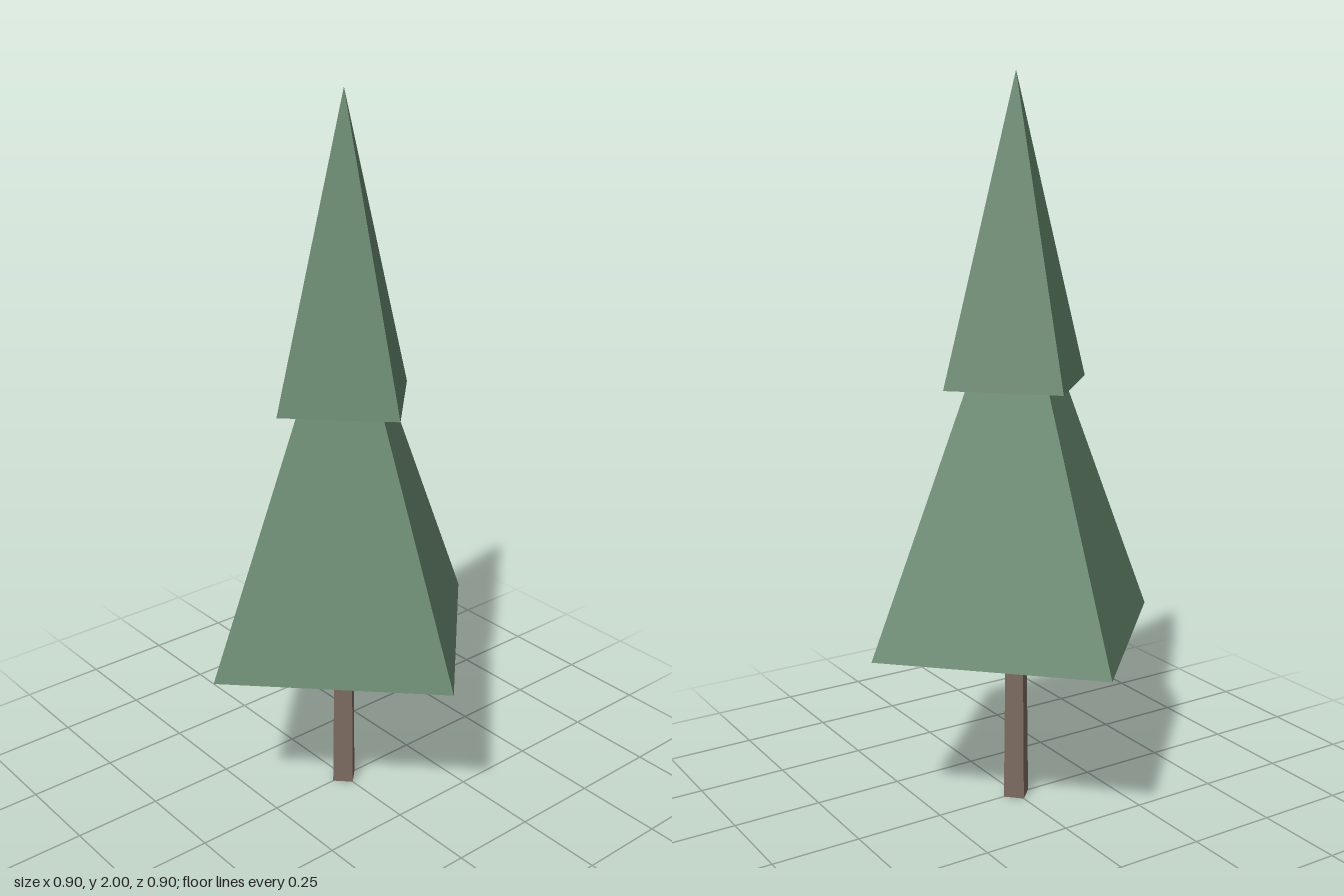
import * as THREE from 'three';

const foliage = new THREE.MeshStandardMaterial({ color: 0x64856b, flatShading: true, side: THREE.DoubleSide });
foliage.name = 'foliage green';
const bark = new THREE.MeshStandardMaterial({ color: 0x7c6b5f, flatShading: true });
bark.name = 'bark brown';

// Four-sided tapered part standing on y = bottom, corners on the x and z axes
function fourSided(name, material, bottom, top, rBottom, rTop, open) {
  const height = top - bottom;
  const geometry = rTop > 0
    ? new THREE.CylinderGeometry(rTop, rBottom, height, 4, 1, open)
    : new THREE.ConeGeometry(rBottom, height, 4, 1, open);
  const mesh = new THREE.Mesh(geometry, material);
  mesh.name = name;
  mesh.position.y = bottom + height / 2;
  return mesh;
}

export function createModel() {
  const tree = new THREE.Group();
  tree.name = 'pineTree';
  tree.add(
    // Slim trunk, running up inside the foliage
    fourSided('trunk', bark, 0, 1.3, 0.041, 0.024, false),
    // Hollow foliage tiers, open underneath
    fourSided('lowerFoliage', foliage, 0.49, 1.56, 0.45, 0, true),
    fourSided('upperFoliage', foliage, 1.19, 2, 0.225, 0, true),
  );
  return tree;
}
